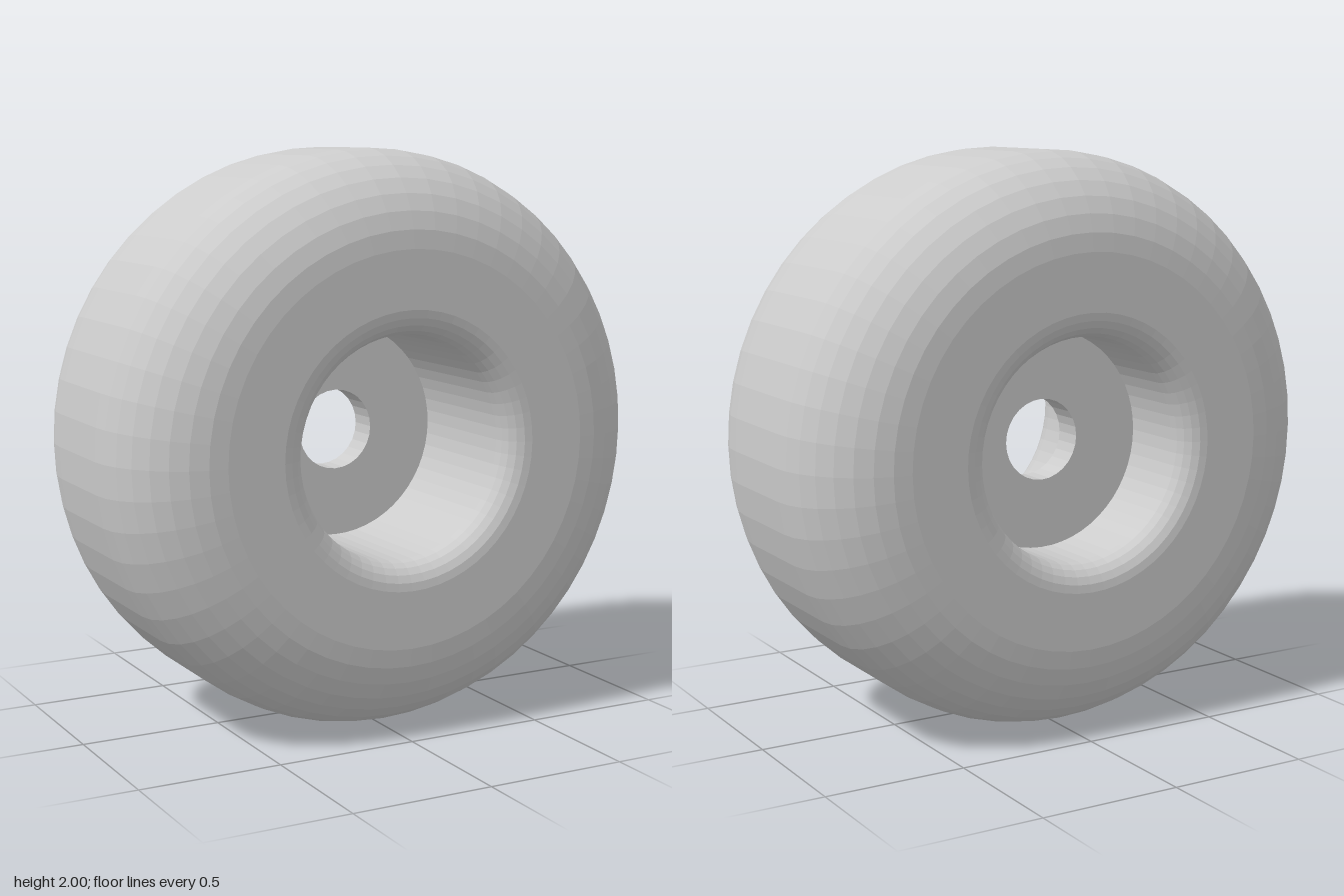
import * as THREE from 'three';

const HALF_WIDTH = 0.495;
const BORE_RADIUS = 0.385;
const WEB_FRONT = -0.06;
const WEB_BACK = -0.17;

// Points of an arc in the (radius, axial) plane
function arc(cx, cy, r, from, to, steps) {
  const points = [];
  for (let i = 0; i <= steps; i++) {
    const a = THREE.MathUtils.degToRad(from + ((to - from) * i) / steps);
    points.push(new THREE.Vector2(cx + r * Math.cos(a), cy + r * Math.sin(a)));
  }
  return points;
}

// Revolve a profile and turn its axis to face +z
function revolve(name, points, sides, material) {
  const geometry = new THREE.LatheGeometry(points, sides);
  geometry.rotateX(Math.PI / 2);
  const mesh = new THREE.Mesh(geometry, material);
  mesh.name = name;
  mesh.position.y = 1;
  return mesh;
}

export function createModel() {
  const group = new THREE.Group();
  group.name = 'wheel';
  const material = new THREE.MeshStandardMaterial({ color: 0xcccccc, flatShading: true });

  // Tread, side walls and recesses: rounded outer shoulders, small fillets at the bore
  const shoulder = 0.325;
  const fillet = 0.09;
  const shoulderZ = HALF_WIDTH - shoulder;
  const filletZ = HALF_WIDTH - fillet;
  const filletR = BORE_RADIUS + fillet;
  const tyreProfile = [
    new THREE.Vector2(BORE_RADIUS, WEB_BACK),
    ...arc(filletR, -filletZ, fillet, 180, 270, 5),
    ...arc(1 - shoulder, -shoulderZ, shoulder, -90, 0, 8),
    ...arc(1 - shoulder, shoulderZ, shoulder, 0, 90, 8),
    ...arc(filletR, filletZ, fillet, 90, 180, 5),
    new THREE.Vector2(BORE_RADIUS, WEB_FRONT),
  ];
  group.add(revolve('tyre', tyreProfile, 56, material));

  // Central web with the axle hole, set towards the back
  const webRadius = BORE_RADIUS + 0.005;
  const holeRadius = 0.143;
  const webProfile = [
    new THREE.Vector2(webRadius, WEB_FRONT),
    new THREE.Vector2(holeRadius, WEB_FRONT),
    new THREE.Vector2(holeRadius, WEB_BACK),
    new THREE.Vector2(webRadius, WEB_BACK),
  ];
  group.add(revolve('hubWeb', webProfile, 28, material));

  return group;
}
